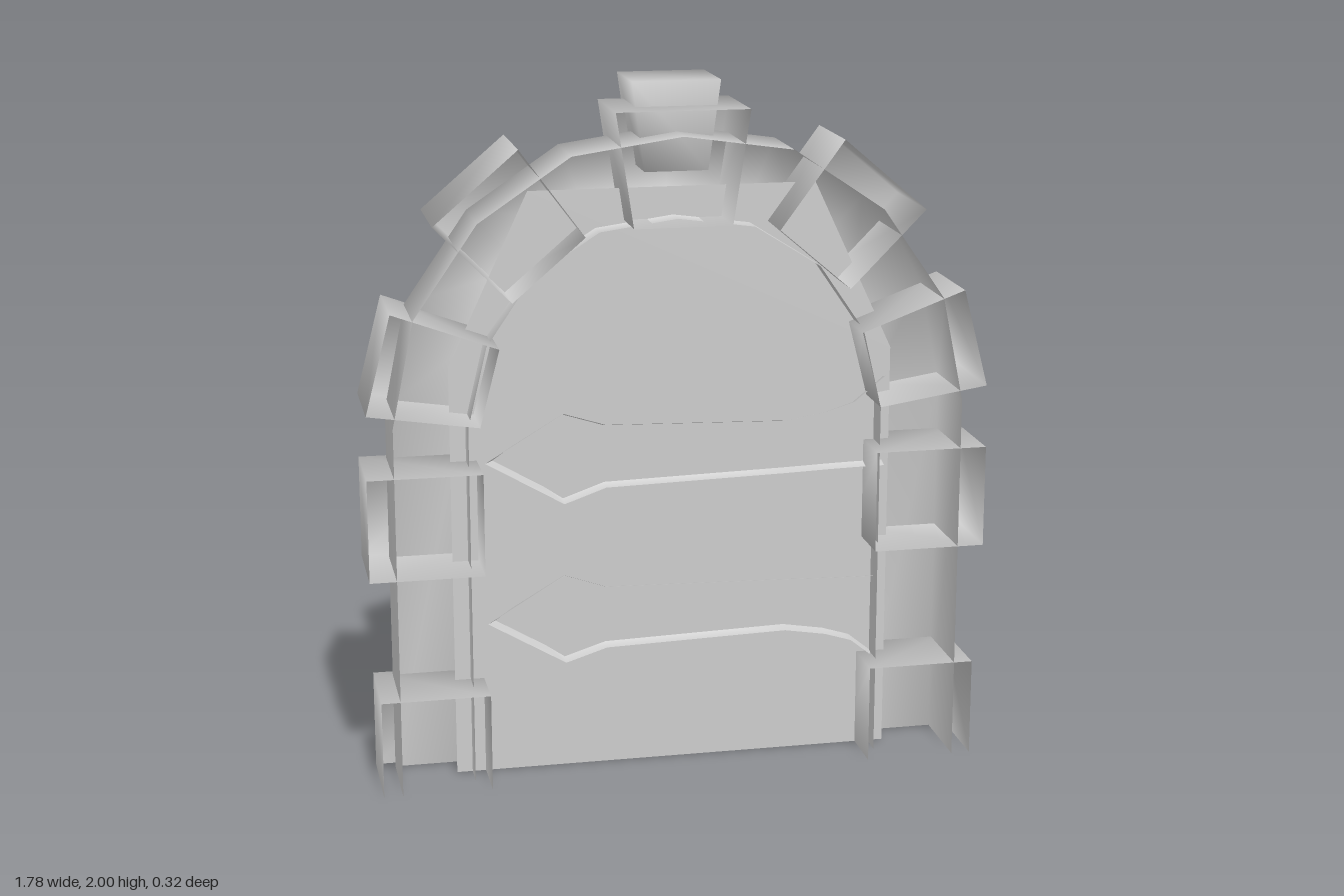
import * as THREE from 'three';
import { mergeVertices } from 'three/addons/utils/BufferGeometryUtils.js';

const material = new THREE.MeshStandardMaterial({ color: 0xcccccc, side: THREE.DoubleSide });

function addMesh(parent, geometry, name) {
  const mesh = new THREE.Mesh(geometry, material);
  mesh.name = name;
  parent.add(mesh);
  return mesh;
}

// Open skin through cross-sections that all have the same number of points
function skin(sections) {
  const n = sections[0].length, index = [];
  for (let i = 0; i < sections.length - 1; i++) {
    for (let j = 0; j < n - 1; j++) {
      const a = i * n + j, b = a + n;
      index.push(a, b, a + 1, b, b + 1, a + 1);
    }
  }
  const geometry = new THREE.BufferGeometry();
  geometry.setAttribute('position', new THREE.Float32BufferAttribute(sections.flat(2), 3));
  geometry.setIndex(index);
  geometry.computeVertexNormals();
  return geometry;
}

// Stone with some box faces left open (0 outer, 1 inner, 2 upper, 3 lower, 4 front, 5 rear).
// Local +x points outward; the inner end is narrowed by the taper factor.
function stoneGeometry(depth, length, zFront, zRear, taper, open) {
  let g = new THREE.BoxGeometry(depth, length, zFront - zRear);
  g.setIndex(Array.from(g.index.array).filter((_, i) => !open.includes(Math.floor(i / 6))));
  g.deleteAttribute('normal');
  g.deleteAttribute('uv');
  g = mergeVertices(g);
  const p = g.attributes.position;
  for (let i = 0; i < p.count; i++) if (p.getX(i) < 0) p.setY(i, p.getY(i) * taper);
  g.translate(-depth / 2, 0, (zFront + zRear) / 2);
  g.computeVertexNormals();
  return g;
}

function addStone(parent, name, s) {
  const g = stoneGeometry(s.depth, s.length, s.front ?? 0.16, s.rear, s.taper ?? 1, s.open ?? [4]);
  const mesh = addMesh(parent, g, name);
  mesh.position.set(s.x, s.y, 0);
  mesh.rotation.z = THREE.MathUtils.degToRad(s.angle);
}

// Iron strap: stations are [x, lower y, upper y], with sloped sides through the panel
function strapGeometry(stations) {
  return skin(stations.map(([x, lo, hi]) => {
    const inset = Math.min(0.025, (hi - lo) / 2);
    const tipShift = hi - lo < 0.01 ? 0.07 : 0;
    return [
      [x, lo, 0.04],
      [x + tipShift, lo + inset, -0.045],
      [x + tipShift, hi - inset, -0.045],
      [x, hi, 0.04],
    ];
  }));
}

export function createModel() {
  const model = new THREE.Group();
  model.name = 'archedDoor';

  // Door panel with cut upper corners, tucked into the frame
  const outline = [[-0.64, 0], [0.64, 0], [0.64, 1.21], [0.41, 1.7], [-0.41, 1.7], [-0.64, 1.21]];
  const panel = new THREE.ShapeGeometry(new THREE.Shape(outline.map(([x, y]) => new THREE.Vector2(x, y))));
  panel.translate(0, 0, 0.01);
  addMesh(model, panel, 'doorPanel');

  // Arched frame: a channel open towards the front, its inner wall ending just past the panel
  const half = [
    [0.812, 0, 0.595, 0], [0.812, 1.08, 0.595, 1.05], [0.75, 1.38, 0.54, 1.28],
    [0.57, 1.64, 0.41, 1.47], [0.31, 1.815, 0.22, 1.59],
  ];
  const mirrored = half.map(([a, b, c, d]) => [-a, b, -c, d]).reverse();
  const path = [...half, [0, 1.86, 0, 1.62], ...mirrored];
  addMesh(model, skin(path.map(([ox, oy, ix, iy]) => [
    [ox, oy, 0.16], [ox, oy, -0.07], [ix, iy, -0.07], [ix, iy, 0.08],
  ])), 'archFrame');

  // Frame stones, the same on both sides
  const sideStones = [
    ['baseStone', { x: 0.866, y: 0.1425, angle: 0, depth: 0.31, length: 0.285, rear: -0.098, open: [3, 4] }],
    ['postStone', { x: 0.888, y: 0.79, angle: 0, depth: 0.323, length: 0.295, rear: -0.098 }],
    ['springerStone', { x: 0.848, y: 1.26, angle: 14.5, depth: 0.315, length: 0.29, rear: -0.113, taper: 0.78 }],
    ['archStone', { x: 0.573, y: 1.737, angle: 49.5, depth: 0.305, length: 0.312, rear: -0.125, taper: 0.86 }],
  ];
  for (const [side, sign] of [['left', 1], ['right', -1]]) {
    const group = new THREE.Group();
    group.name = side + 'Stones';
    group.scale.x = sign;
    for (const [name, s] of sideStones) addStone(group, name, s);
    model.add(group);
  }

  // Crown stone and the closed keystone in front of it
  addStone(model, 'crownStone', { x: 0, y: 1.93, angle: 90, depth: 0.32, length: 0.375, rear: -0.125, taper: 0.74 });
  addStone(model, 'keystone', { x: 0, y: 2, angle: 90, depth: 0.25, length: 0.25, front: 0.06, rear: -0.163, taper: 0.72, open: [] });

  // Two iron straps, the lower one turned upside down
  const stations = [
    [-0.545, 0.935, 0.935], [-0.32, 0.803, 1.068], [-0.2, 0.845, 1.03], [0.33, 0.858, 1.015],
    [0.45, 0.862, 1.035], [0.53, 0.864, 1.06], [0.62, 0.865, 1.133],
  ];
  addMesh(model, strapGeometry(stations), 'upperStrap');
  addMesh(model, strapGeometry(stations.map(([x, lo, hi]) => [x, 1.393 - hi, 1.393 - lo])), 'lowerStrap');

  return model;
}
